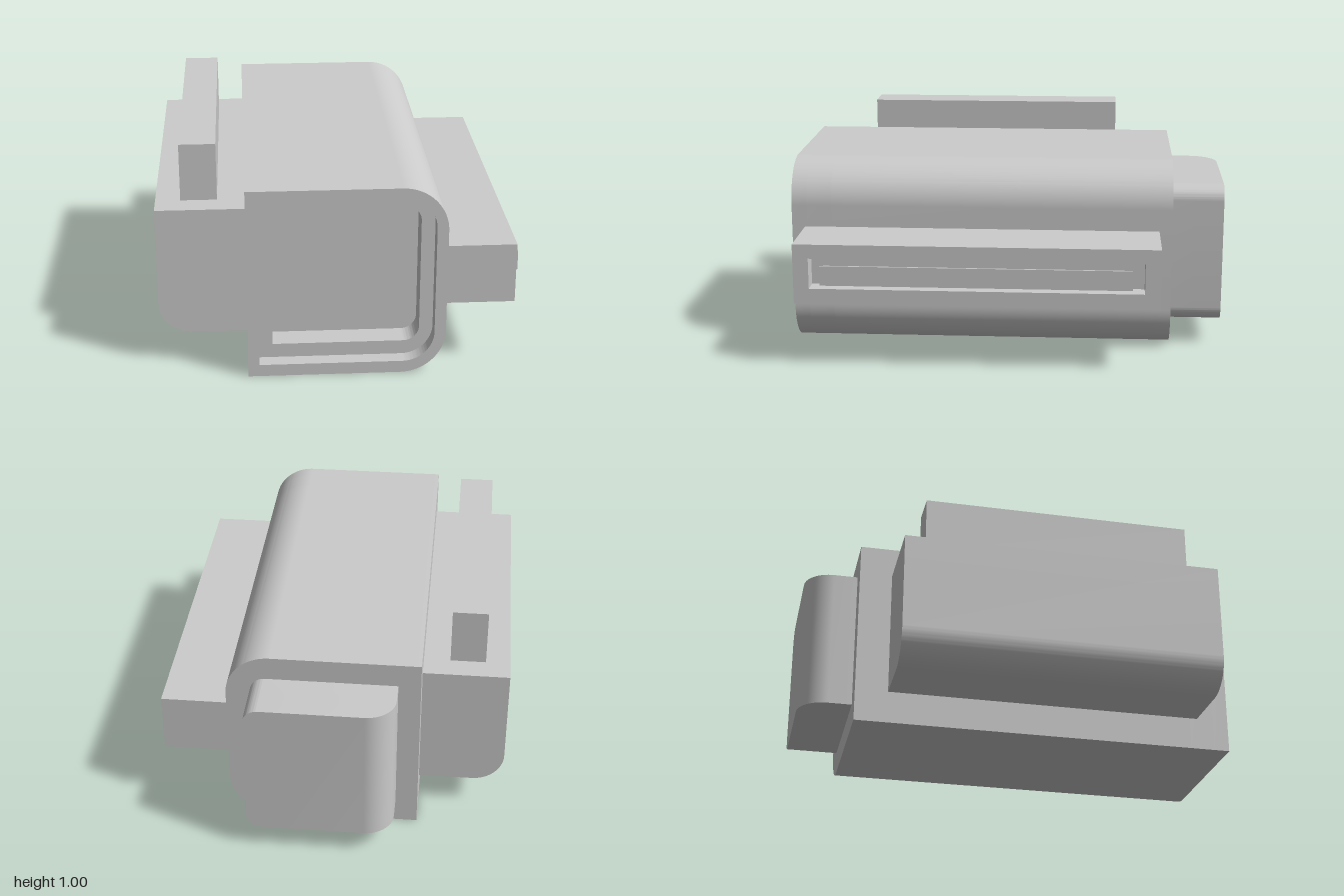
import * as THREE from 'three';
import { toCreasedNormals } from 'three/addons/utils/BufferGeometryUtils.js';

const material = new THREE.MeshStandardMaterial({ color: 0xcccccc });

// Rectangle outline with separate radii: bottom left, bottom right, top right, top left.
function outline(x0, x1, y0, y1, [bl, br, tr, tl] = [0, 0, 0, 0], Type = THREE.Shape) {
  const s = new Type();
  const corner = (x, y, r, start) => {
    if (r > 0) s.absarc(x, y, r, start, start + Math.PI / 2, false);
    else s.lineTo(x, y);
  };
  s.moveTo(x0 + bl, y0);
  corner(x1 - br, y0 + br, br, -Math.PI / 2);
  corner(x1 - tr, y1 - tr, tr, 0);
  corner(x0 + tl, y1 - tl, tl, Math.PI / 2);
  if (bl > 0) corner(x0 + bl, y0 + bl, bl, Math.PI);
  else s.lineTo(x0, y0);
  return s;
}

function extrude(shape, from, to, steps = 1) {
  return new THREE.ExtrudeGeometry(shape, { depth: to - from, steps, curveSegments: 16, bevelEnabled: false })
    .translate(0, 0, from);
}

export function createModel() {
  const model = new THREE.Group();
  const add = (name, geometry) => {
    const mesh = new THREE.Mesh(toCreasedNormals(geometry, 0.5), material);
    mesh.name = name;
    model.add(mesh);
  };
  const box = (name, x0, x1, y0, y1, z0, z1) =>
    add(name, new THREE.BoxGeometry(x1 - x0, y1 - y0, z1 - z0)
      .translate((x0 + x1) / 2, (y0 + y1) / 2, (z0 + z1) / 2));

  // Main housing, with a two-step opening at the front
  const bodyOutline = () => outline(-0.41, 0.46, 0, 0.88, [0, 0.2, 0.2, 0]);
  const ring = (hole) => {
    const s = bodyOutline();
    s.holes.push(hole);
    return s;
  };
  const innerHole = outline(-0.3, 0.35, 0.12, 0.77, [0, 0.07, 0.07, 0], THREE.Path);
  const outerHole = outline(-0.36, 0.41, 0.055, 0.83, [0, 0.14, 0.14, 0], THREE.Path);
  add('housing', extrude(bodyOutline(), -0.76, 0.815));
  add('innerFrame', extrude(ring(innerHole), 0.815, 0.93));
  add('frontRim', extrude(ring(outerHole), 0.93, 1));

  // Rear block: rounded right edges, plus a rounded vertical edge at the back left
  const steps = 16, r = 0.13, left = -0.31;
  const rear = extrude(outline(left, 0.35, 0.115, 0.77, [0, 0.07, 0.07, 0]), 0, 1, steps);
  const p = rear.attributes.position;
  for (let i = 0; i < p.count; i++) {
    const k = Math.round((1 - p.getZ(i)) * steps);
    const a = Math.max(0, (k - 1) / (steps - 1)) * Math.PI / 2;
    if (Math.abs(p.getX(i) - left) < 1e-4) p.setX(i, left + r * (1 - Math.cos(a)));
    p.setZ(i, k === 0 ? -0.76 : -1 + r * (1 - Math.sin(a)));
  }
  add('rearBlock', rear);

  // Side block with a rounded lower edge and an upright fin
  add('sideBlock', extrude(outline(-0.8, -0.41, 0.15, 0.74, [0.145, 0, 0, 0]), -0.61, 0.85));
  box('fin', -0.69, -0.53, 0.74, 1, -0.5, 0.74);

  // Slotted rail on the other side
  box('railBase', 0.46, 0.69, 0.305, 0.58, -0.7, 0.94);
  const rail = outline(-0.94, 0.7, 0.305, 0.58);
  rail.holes.push(outline(-0.87, 0.63, 0.375, 0.515, undefined, THREE.Path));
  add('railSlot', extrude(rail, 0.69, 0.77).rotateY(Math.PI / 2));

  // Flared tongue standing in the slot
  const tongue = new THREE.Shape([[0.69, 0.425], [0.8, 0.4], [0.8, 0.49], [0.69, 0.46]]
    .map(([x, y]) => new THREE.Vector2(x, y)));
  add('tongue', extrude(tongue, -0.575, 0.815));

  return model;
}
